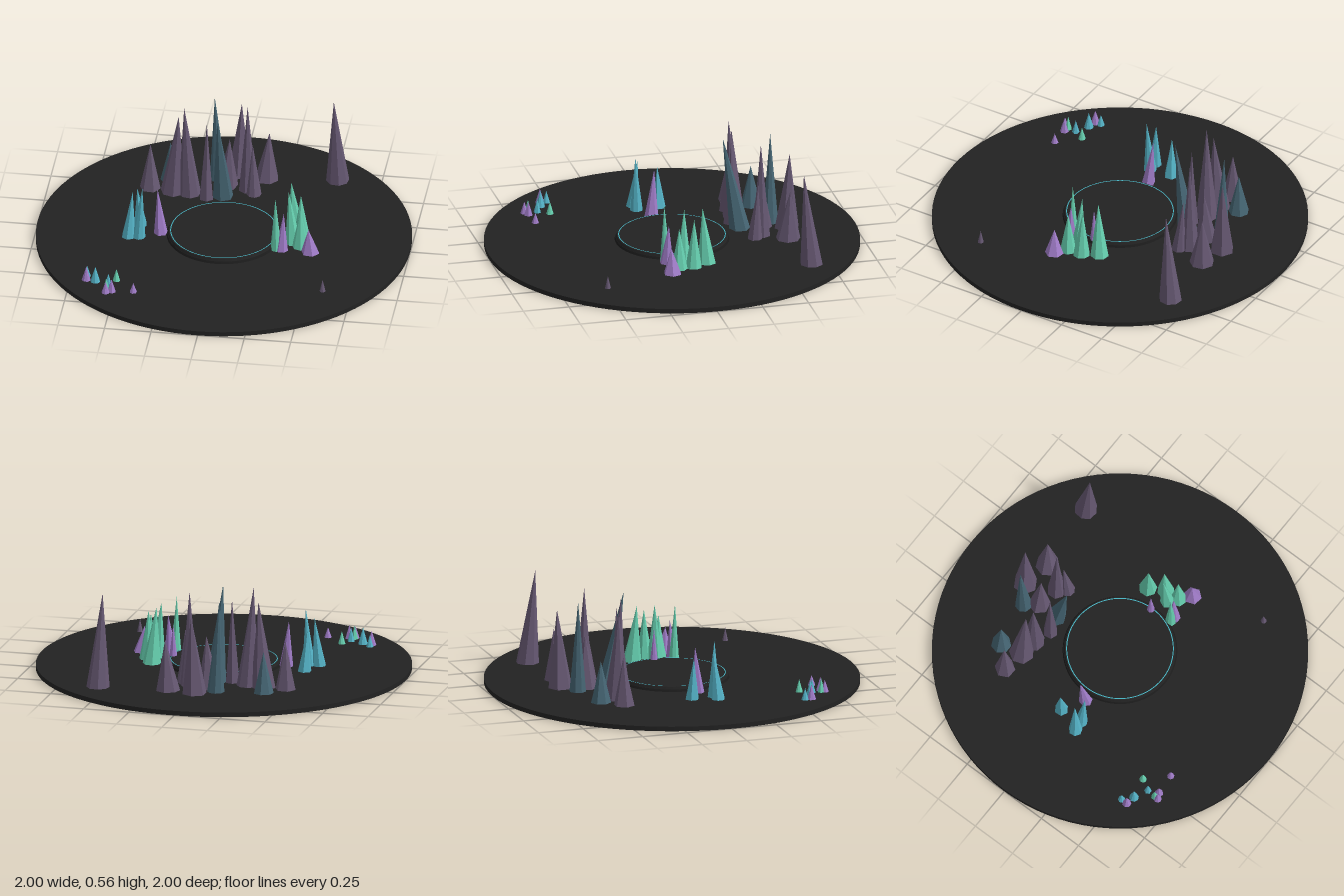
import * as THREE from 'three';

const GROUND = 0.025;

const paint = (name, color) => {
  const m = new THREE.MeshStandardMaterial({ color });
  m.name = name;
  return m;
};

// Faceted spike: a cone sheared so that its tip leans to (tx, tz)
function crystal(name, material, [x, z, r, top, tx = x, tz = z], i) {
  const h = top - GROUND;
  const cone = new THREE.ConeGeometry(r, h, 6 + (i % 3), 1);
  cone.rotateY(i * 1.3);
  cone.translate(0, h / 2, 0);
  const p = cone.attributes.position;
  for (let k = 0; k < p.count; k++) {
    const t = p.getY(k) / h;
    p.setX(k, p.getX(k) + (tx - x) * t);
    p.setZ(k, p.getZ(k) + (tz - z) * t);
  }
  const flat = cone.toNonIndexed();
  flat.computeVertexNormals();
  const mesh = new THREE.Mesh(flat, material);
  mesh.name = name;
  mesh.position.set(x, GROUND, z);
  return mesh;
}

export function createModel() {
  const model = new THREE.Group();
  model.name = 'crystalField';

  const stone = paint('dark stone', 0x222222);
  const rimStone = paint('rim stone', 0x1c1c1c);
  const glow = paint('cyan glow', 0x45b5c4);
  const dusk = paint('dusky purple', 0x665872);
  const slate = paint('slate teal', 0x466674);
  const mint = paint('mint green', 0x66d0b0);
  const aqua = paint('aqua', 0x55b4c8);
  const violet = paint('violet', 0xa07cc8);

  const add = (name, geometry, material, y) => {
    const mesh = new THREE.Mesh(geometry, material);
    mesh.name = name;
    mesh.position.y = y;
    model.add(mesh);
  };

  // Ground disc, raised round platform and its inlaid ring
  add('groundDisc', new THREE.CylinderGeometry(1, 1, GROUND, 96), stone, GROUND / 2);
  add('platformRim', new THREE.CylinderGeometry(0.3, 0.305, 0.012, 64), rimStone, 0.031);
  add('platform', new THREE.CylinderGeometry(0.292, 0.298, 0.013, 64), stone, 0.0435);
  const ring = new THREE.RingGeometry(0.281, 0.286, 96);
  ring.rotateX(-Math.PI / 2);
  add('platformRing', ring, glow, 0.0515);

  // Each crystal: base x, base z, radius, tip height, tip x, tip z
  const clusters = {
    backCrystals: [
      [dusk, [
        [-0.01, -0.63, 0.066, 0.45, 0.005, -0.643],
        [0.145, -0.6, 0.066, 0.3, 0.158, -0.61],
        [0.52, -0.635, 0.062, 0.53, 0.505, -0.597],
        [-0.055, -0.5, 0.06, 0.31, -0.04, -0.5],
        [0.06, -0.475, 0.05, 0.54, 0.06, -0.472],
        [0.1, -0.43, 0.04, 0.32, 0.09, -0.45],
        [-0.455, -0.42, 0.056, 0.29, -0.455, -0.425],
        [-0.33, -0.405, 0.068, 0.49, -0.3, -0.4],
        [-0.24, -0.395, 0.06, 0.56, -0.267, -0.376],
        [-0.145, -0.355, 0.04, 0.48, -0.143, -0.36],
      ]],
      [slate, [
        [-0.36, -0.52, 0.055, 0.25],
        [-0.11, -0.565, 0.046, 0.52, -0.13, -0.57],
        [-0.06, -0.385, 0.056, 0.54, -0.077, -0.297],
      ]],
    ],
    leftCrystals: [
      [mint, [
        [0.37, -0.1, 0.05, 0.33, 0.35, -0.08],
        [0.415, -0.015, 0.046, 0.29, 0.41, -0.02],
        [0.375, 0.03, 0.042, 0.33, 0.35, 0.02],
        [0.42, 0.065, 0.045, 0.25],
        [0.295, 0.11, 0.03, 0.34, 0.292, 0.115],
      ]],
      [violet, [
        [0.48, 0.115, 0.05, 0.165, 0.47, 0.12],
        [0.325, 0.11, 0.036, 0.24, 0.335, 0.1],
        [0.277, -0.008, 0.024, 0.22],
      ]],
    ],
    rightCrystals: [
      [aqua, [
        [-0.455, -0.04, 0.038, 0.25, -0.47, -0.035],
        [-0.5, 0.09, 0.037, 0.29, -0.48, 0.07],
        [-0.445, 0.085, 0.035, 0.33, -0.425, 0.095],
      ]],
      [violet, [[-0.335, 0.03, 0.037, 0.28, -0.355, 0.01]]],
    ],
    frontCrystals: [
      [aqua, [
        [-0.66, 0.525, 0.02, 0.09],
        [-0.61, 0.57, 0.026, 0.115],
        [-0.535, 0.605, 0.02, 0.1],
      ]],
      [violet, [
        [-0.66, 0.56, 0.025, 0.105],
        [-0.54, 0.675, 0.022, 0.09],
        [-0.51, 0.66, 0.024, 0.1],
        [-0.395, 0.65, 0.02, 0.08],
      ]],
      [mint, [
        [-0.5, 0.545, 0.02, 0.095],
        [-0.54, 0.655, 0.02, 0.1],
      ]],
      [dusk, [[0.6, 0.5, 0.016, 0.095]]],
    ],
  };

  let i = 0;
  for (const [name, sets] of Object.entries(clusters)) {
    const group = new THREE.Group();
    group.name = name;
    for (const [material, spikes] of sets)
      for (const spike of spikes) group.add(crystal('crystal', material, spike, i++));
    model.add(group);
  }
  return model;
}
